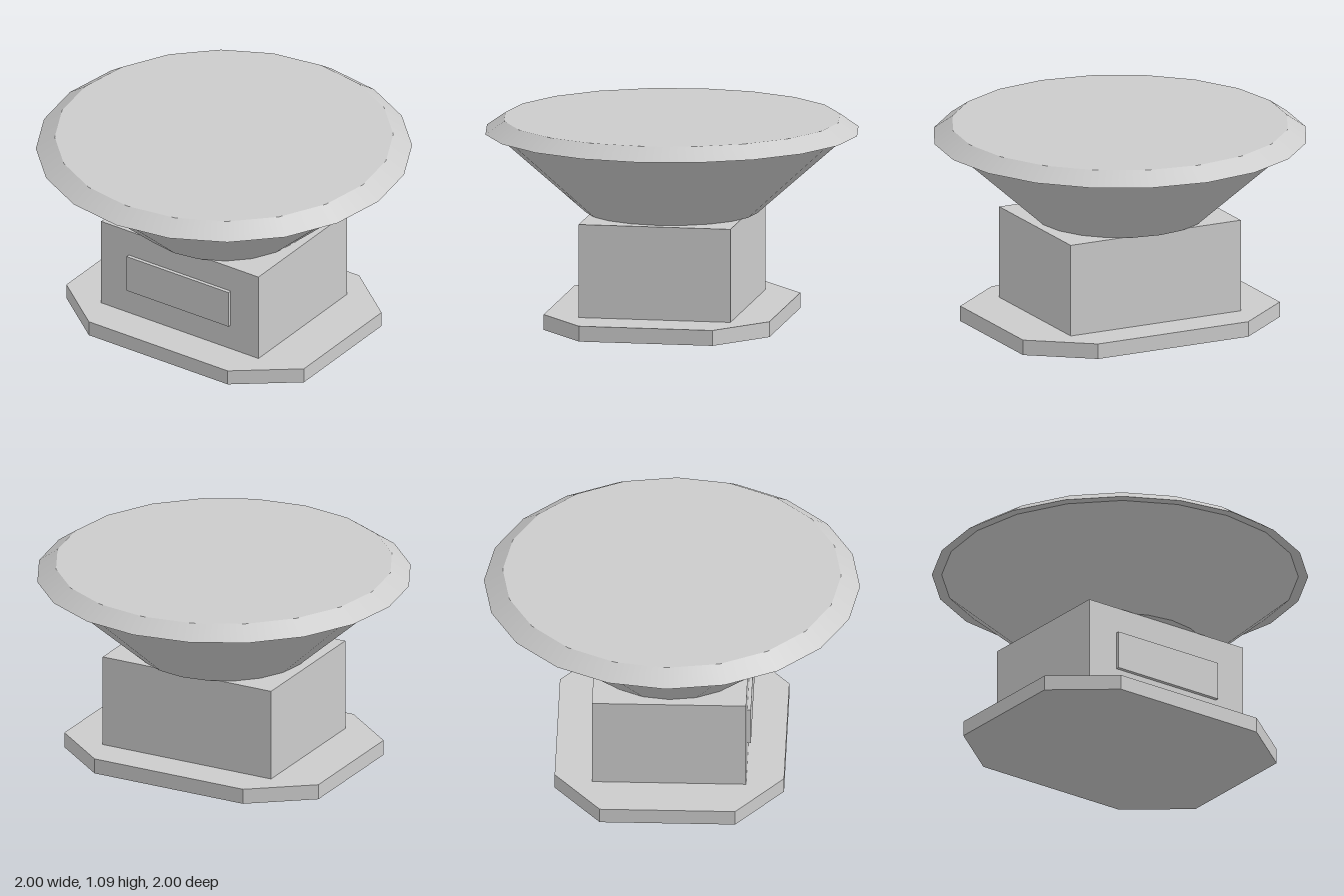
import * as THREE from 'three';

const material = new THREE.MeshStandardMaterial({ color: 0xcccccc });

export function createModel() {
  const group = new THREE.Group();

  const add = (name, geometry, y, z = 0) => {
    const mesh = new THREE.Mesh(geometry, material);
    mesh.name = name;
    mesh.position.set(0, y, z);
    group.add(mesh);
  };

  // Flat foot plate with clipped corners
  const outline = [
    [0.45, 0.61], [-0.45, 0.61], [-0.77, 0.36], [-0.77, -0.36],
    [-0.45, -0.61], [0.45, -0.61], [0.77, -0.36], [0.77, 0.36],
  ].map(([x, y]) => new THREE.Vector2(x, y));
  const foot = new THREE.ExtrudeGeometry(new THREE.Shape(outline), { depth: 0.083, bevelEnabled: false });
  foot.rotateX(-Math.PI / 2);
  add('footPlate', foot, 0);

  // Pedestal block and the raised panel on its front
  add('pedestal', new THREE.BoxGeometry(1.02, 0.502, 0.82), 0.334);
  add('frontPanel', new THREE.BoxGeometry(0.66, 0.21, 0.04), 0.333, 0.41);

  // Flared support under the top, closed at its narrow end
  add('flaredSupport', new THREE.CylinderGeometry(0.95, 0.46, 0.435, 20), 0.8025);

  // Round top with a sloping rim
  add('roundTop', new THREE.CylinderGeometry(0.9, 1, 0.07, 20), 1.053);

  return group;
}
